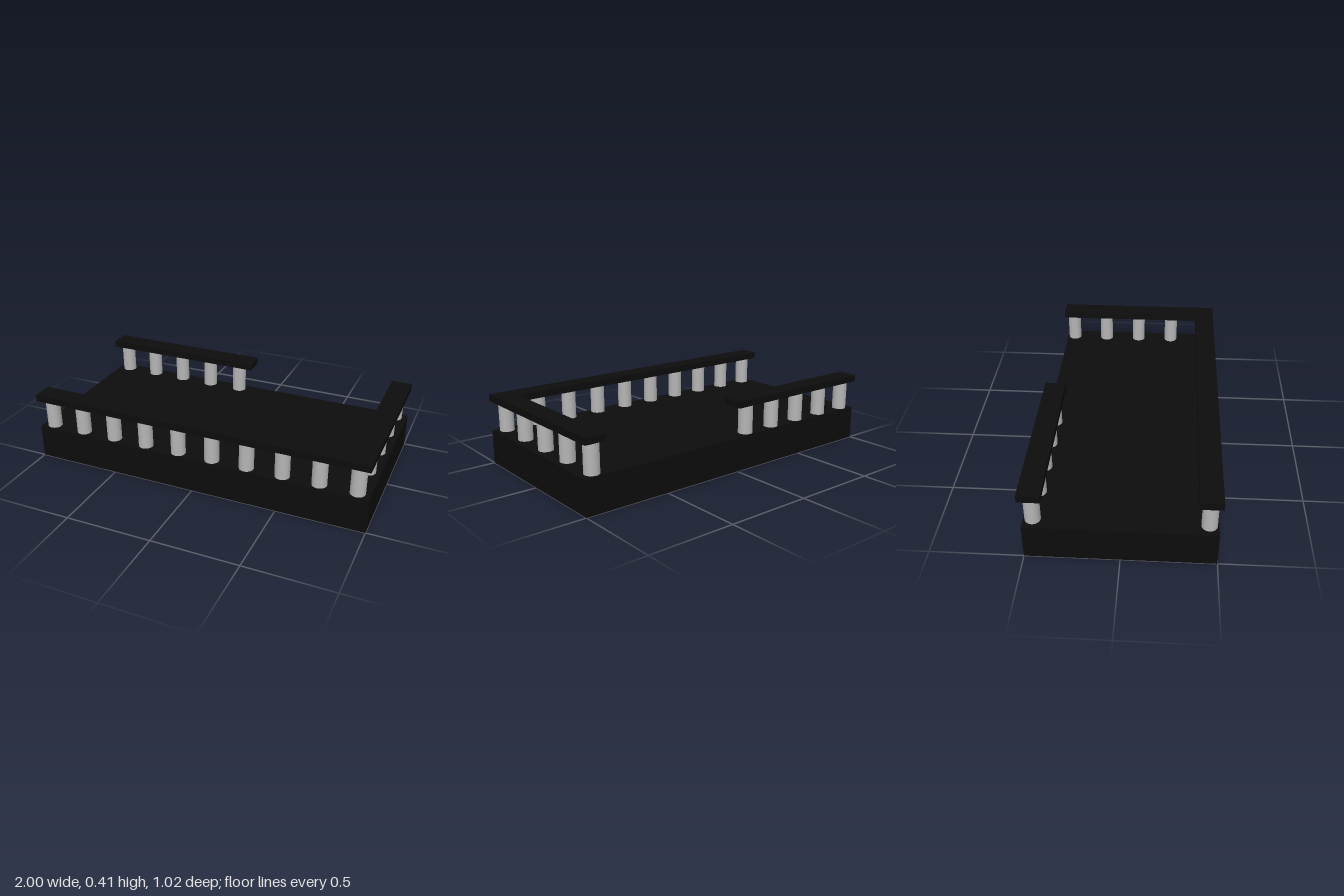
import * as THREE from 'three';

const black = new THREE.MeshStandardMaterial({ name: 'black', color: 0x0c0c0c });
const stone = new THREE.MeshStandardMaterial({ name: 'grey stone', color: 0xb4b4b4 });

const BASE_TOP = 0.2, RAIL_BOTTOM = 0.372, RAIL_TOP = 0.412;

export function createModel() {
  const model = new THREE.Group();
  model.name = 'balustradedPlatform';

  // Box given by its minimum and maximum corners
  const box = (name, [x0, y0, z0], [x1, y1, z1]) => {
    const mesh = new THREE.Mesh(new THREE.BoxGeometry(x1 - x0, y1 - y0, z1 - z0), black);
    mesh.position.set((x0 + x1) / 2, (y0 + y1) / 2, (z0 + z1) / 2);
    mesh.name = name;
    model.add(mesh);
  };

  // Solid platform
  box('platform', [-1, 0, -0.5], [1, BASE_TOP, 0.5]);

  // Handrails: full front, one full side, half of the back
  const rail = (name, x0, x1, z0, z1) => box(name, [x0, RAIL_BOTTOM, z0], [x1, RAIL_TOP, z1]);
  rail('frontRail', -1, 1, 0.39, 0.51);
  rail('sideRail', 0.88, 1, -0.51, 0.388);
  rail('backRail', -1, 0, -0.51, -0.39);

  // Round posts
  const height = RAIL_BOTTOM - BASE_TOP;
  const postGeometry = new THREE.CylinderGeometry(0.042, 0.042, height, 32);
  const post = (name, x, z) => {
    const mesh = new THREE.Mesh(postGeometry, stone);
    mesh.position.set(x, BASE_TOP + height / 2, z);
    mesh.name = name;
    model.add(mesh);
  };
  const postX = (i) => -0.93 + (i * 1.86) / 9;
  for (let i = 0; i < 10; i++) post('frontPost', postX(i), 0.45);
  for (let i = 0; i < 5; i++) post('backPost', postX(i), -0.45);
  for (let i = 1; i < 5; i++) post('sidePost', 0.93, 0.45 - i * 0.225);

  return model;
}
